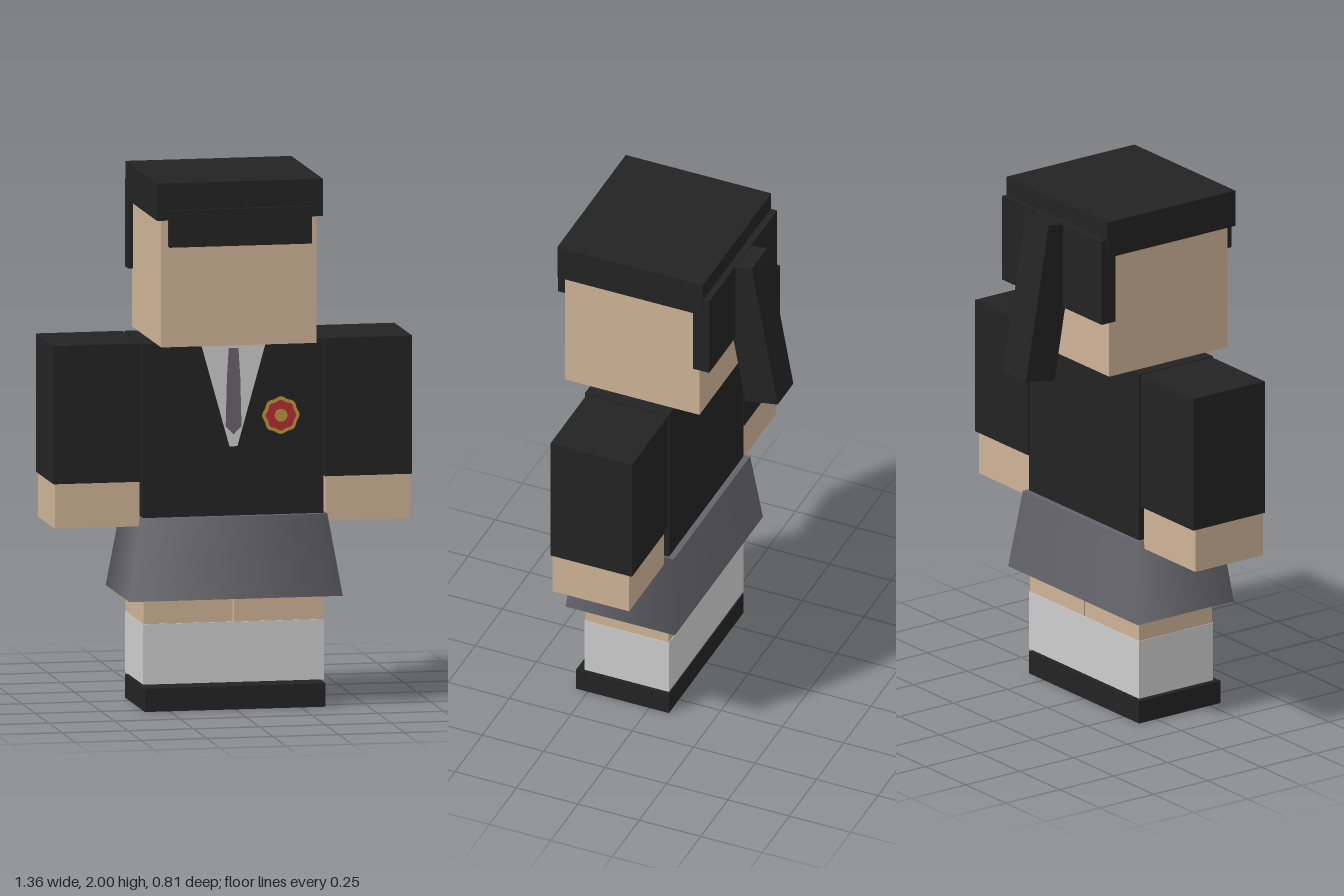
import * as THREE from 'three';

const mat = (name, color) => {
  const m = new THREE.MeshStandardMaterial({ color });
  m.name = name;
  return m;
};

export function createModel() {
  const black = mat('black', 0x232323);
  const skin = mat('skin', 0xceb396);
  const white = mat('white', 0xcdcdcd);
  const grey = mat('skirt grey', 0x64636a);
  const tieGrey = mat('tie grey', 0x67636e);
  const red = mat('badge red', 0xb52b32);
  const gold = mat('badge gold', 0xba983a);

  const model = new THREE.Group();
  model.name = 'blockFigure';

  const add = (name, geometry, material) => {
    const mesh = new THREE.Mesh(geometry, material);
    mesh.name = name;
    model.add(mesh);
    return mesh;
  };
  // box given by its limits on each axis
  const box = (name, material, [x0, x1], [y0, y1], [z0, z1]) => {
    const mesh = add(name, new THREE.BoxGeometry(x1 - x0, y1 - y0, z1 - z0), material);
    mesh.position.set((x0 + x1) / 2, (y0 + y1) / 2, (z0 + z1) / 2);
    return mesh;
  };

  // head and hair
  box('head', skin, [-0.295, 0.295], [1.38, 1.9], [-0.183, 0.365]);
  box('hairCap', black, [-0.315, 0.315], [1.86, 2], [-0.205, 0.387]);
  box('hairBack', black, [-0.312, 0.312], [1.6, 1.93], [-0.23, -0.165]);
  box('fringe', black, [-0.27, 0.27], [1.76, 1.9], [0.36, 0.403]);
  const ponytail = add('ponytail', new THREE.BoxGeometry(0.144, 0.606, 0.134), black);
  ponytail.position.set(0, 1.629, -0.284);
  ponytail.rotation.x = 0.175;

  // jacket
  box('torso', black, [-0.343, 0.343], [0.7, 1.38], [-0.08, 0.262]);

  // arms, legs, socks and shoes, mirrored
  for (const [side, s] of [['left', 1], ['right', -1]]) {
    const span = (a, b) => (s > 0 ? [a, b] : [-b, -a]);
    box(side + 'Sleeve', black, span(0.351, 0.681), [0.86, 1.38], [-0.079, 0.252]);
    box(side + 'Hand', skin, span(0.353, 0.675), [0.692, 0.87], [-0.065, 0.248]);
    box(side + 'Leg', skin, span(0.003, 0.341), [0.31, 0.7], [-0.078, 0.26]);
    box(side + 'Sock', white, span(0, 0.343), [0.098, 0.325], [-0.08, 0.264]);
    box(side + 'Shoe', black, span(0, 0.343), [0, 0.088], [-0.08, 0.298]);
  }

  // flared four-sided skirt with soft shading
  const skirt = new THREE.CylinderGeometry(0.87 * Math.SQRT2, Math.SQRT2, 0.307, 4, 1, false, Math.PI / 4);
  skirt.scale(0.405, 1, 0.2225);
  add('skirt', skirt, grey).position.set(0, 0.571, 0.091);

  // thin plates on the chest
  const plate = (name, material, points, z) => {
    const shape = new THREE.Shape(points.map(([x, y]) => new THREE.Vector2(x, y)));
    const geometry = new THREE.ExtrudeGeometry(shape, { depth: 0.002, bevelEnabled: false });
    add(name, geometry, material).position.z = z;
  };
  plate('shirtFront', white,
    [[-0.125, 1.38], [-0.015, 0.985], [0.015, 0.985], [0.125, 1.38]], 0.262);
  plate('tie', tieGrey,
    [[-0.018, 1.355], [-0.025, 1.25], [-0.03, 1.06], [0, 1.03], [0.03, 1.06], [0.025, 1.25], [0.018, 1.355]], 0.2645);

  // plain round badge with a scalloped rim
  const round = (r, wave) => Array.from({ length: 48 }, (_, i) => {
    const a = (i / 48) * Math.PI * 2;
    const q = r + wave * Math.cos(a * 8);
    return [0.18 + q * Math.cos(a), 1.097 + q * Math.sin(a)];
  });
  plate('badgeRim', gold, round(0.068, 0.003), 0.262);
  plate('badgeDisc', red, round(0.055, 0.003), 0.2645);
  plate('badgeCentre', gold, round(0.024, 0), 0.267);

  return model;
}
